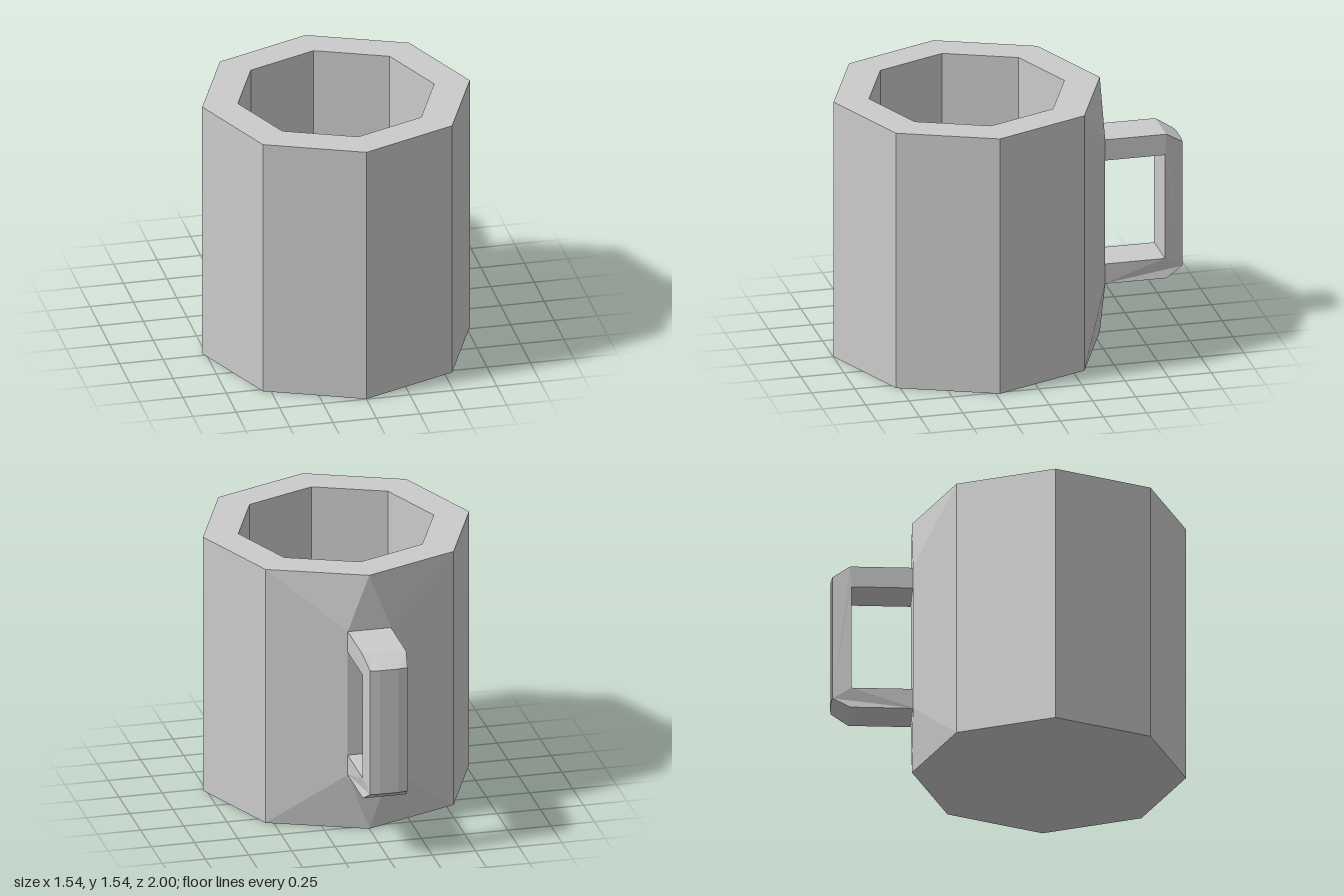
import * as THREE from 'three';

const R = 0.77, INNER = 0.565, H = 1.54, FLOOR = 0.2, CZ = 0.228;
const HALF = 0.125, BACK = -0.542, LOW = 0.34, HIGH = 1.21;

const material = new THREE.MeshStandardMaterial({ color: 0xcccccc, flatShading: true });

function add(group, name, geometry, z = 0) {
  const mesh = new THREE.Mesh(geometry, material);
  mesh.name = name;
  mesh.position.z = z;
  group.add(mesh);
}

const lathe = (points) =>
  new THREE.LatheGeometry(points.map(([r, y]) => new THREE.Vector2(r, y)), 8);

// Two rear wall panels, reshaped around the flat patch that carries the handle
function backWallGeometry() {
  const s = R * Math.SQRT1_2, sz = CZ - s;
  const sT = [s, H, sz], sB = [s, 0, sz];
  const bT = [0, H, BACK], bB = [0, 0, BACK];
  const pT = [HALF, HIGH, BACK], pB = [HALF, LOW, BACK];
  const flip = ([x, y, z]) => [-x, y, z];
  const side = [[sT, pT, bT], [sT, sB, pB], [sT, pB, pT], [sB, bB, pB]];
  const triangles = [
    ...side,
    ...side.map(([a, b, c]) => [flip(a), flip(c), flip(b)]),
    [pT, flip(pT), bT], [pB, bB, flip(pB)],
    [pT, pB, flip(pB)], [pT, flip(pB), flip(pT)],
  ];
  const g = new THREE.BufferGeometry();
  g.setAttribute('position', new THREE.Float32BufferAttribute(triangles.flat(2), 3));
  g.computeVertexNormals();
  return g;
}

// Squared loop with chamfered outer corners, tapering and bowing at its far face
function handleGeometry() {
  const v = (x, y) => new THREE.Vector2(x, y);
  const shape = new THREE.Shape([
    v(0.53, LOW), v(0.895, LOW), v(1, 0.4), v(1, 1.15), v(0.895, HIGH), v(0.53, HIGH),
    v(0.53, 1.085), v(0.888, 1.085), v(0.888, 0.46), v(0.53, 0.46),
  ]);
  const g = new THREE.ExtrudeGeometry(shape, { depth: 2 * HALF, steps: 4, bevelEnabled: false });
  g.translate(0, 0, -HALF);
  const p = g.attributes.position;
  for (let i = 0; i < p.count; i++) {
    if (p.getX(i) < 0.95) continue;
    const w = p.getZ(i);
    if (Math.abs(w) > 0.1) p.setX(i, 0.993);
    p.setZ(i, w * 0.86);
  }
  g.rotateY(Math.PI / 2);
  g.computeVertexNormals();
  return g;
}

export function createModel() {
  const group = new THREE.Group();
  group.name = 'mug';

  // Six plain outer panels; the rear two are built separately
  const wall = new THREE.CylinderGeometry(R, R, H, 6, 1, true, -Math.PI * 0.75, Math.PI * 1.5);
  wall.translate(0, H / 2, 0);
  add(group, 'outerWall', wall, CZ);
  add(group, 'backWall', backWallGeometry());

  // Underside, then rim, inner wall and floor in one profile
  add(group, 'base', lathe([[0, 0], [R, 0]]), CZ);
  add(group, 'rimAndInside', lathe([[R, H], [INNER, H], [INNER, FLOOR], [0, FLOOR]]), CZ);

  add(group, 'handle', handleGeometry());
  return group;
}
